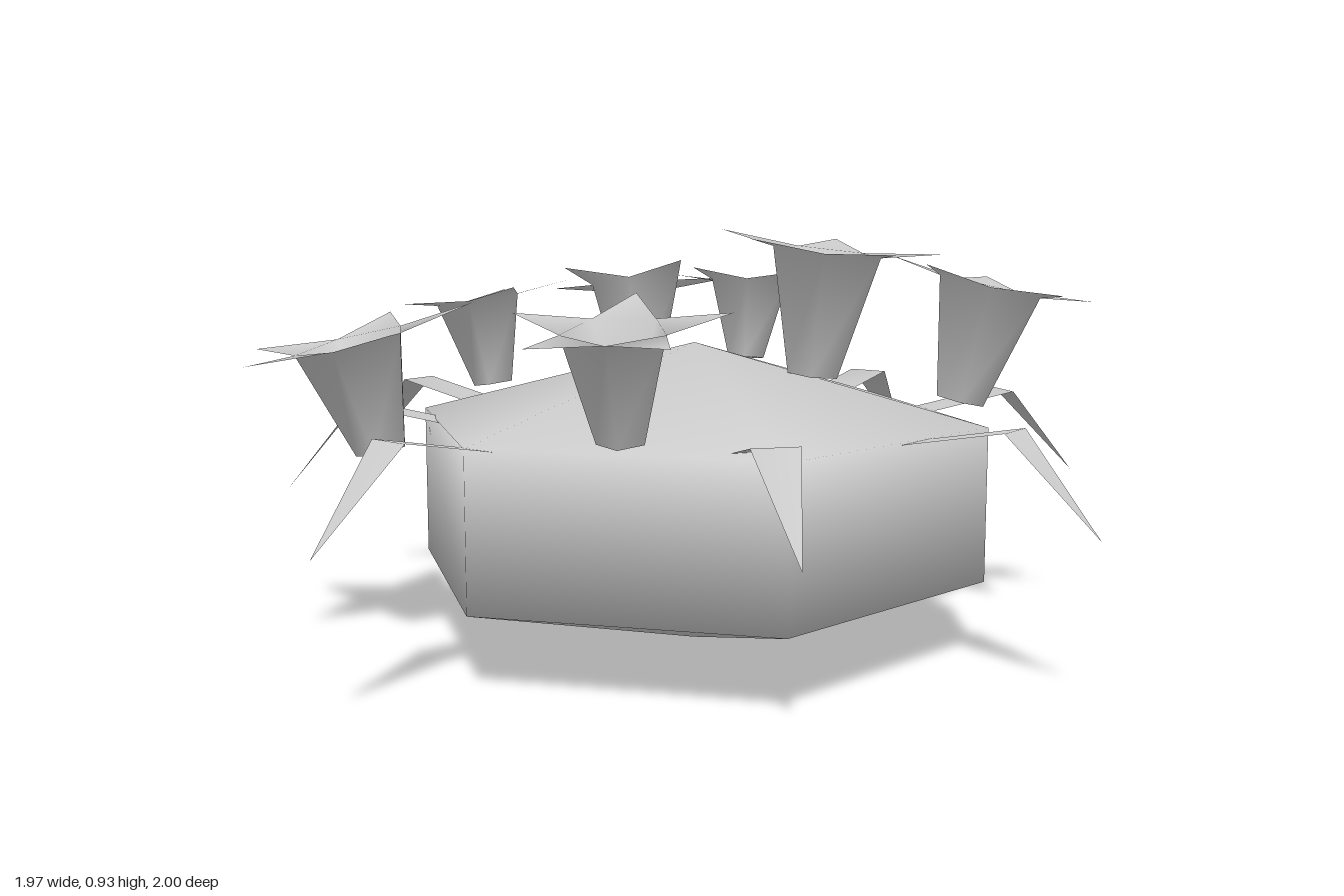
import * as THREE from 'three';

const grey = new THREE.MeshStandardMaterial({ color: 0xcccccc, side: THREE.DoubleSide });
grey.name = 'pale grey';

function surface(name, points, faces) {
  const geometry = new THREE.BufferGeometry();
  geometry.setAttribute('position', new THREE.Float32BufferAttribute(points.flat(), 3));
  geometry.setIndex(faces.flat());
  geometry.computeVertexNormals();
  const mesh = new THREE.Mesh(geometry, grey);
  mesh.name = name;
  return mesh;
}

// Five-sided funnel with a triangular petal on each rim edge; rim centre at the origin
function flower(radius, length) {
  const points = [], faces = [];
  const ring = (r, y, turn) => {
    for (let i = 0; i < 5; i++) {
      const a = (i + turn) * Math.PI * 2 / 5;
      points.push([Math.sin(a) * r, y, Math.cos(a) * r]);
    }
  };
  ring(radius * 0.22, -length, -0.5); // foot
  ring(radius * 0.47, -radius * 0.07, -0.5); // throat
  ring(radius, 0, 0); // petal tips
  points.push([0, -length, 0]);
  for (let i = 0; i < 5; i++) {
    const j = (i + 1) % 5;
    // wound so that the inside of the cup is the front
    faces.push([i, 5 + j, j], [i, 5 + i, 5 + j], [5 + i, 10 + i, 5 + j], [15, i, j]);
  }
  return surface('flower', points, faces);
}

// Flat leaf that rises to a knee and droops to a point, running along +z up to the origin
function leaf(scale) {
  const w = 0.05, base = -0.5 * scale, knee = -0.185 * scale;
  return surface('leaf', [
    [-w, 0.49, base], [w, 0.49, base],
    [-w, 0.55, knee], [w, 0.55, knee],
    [0, 0.35, 0],
  ], [[0, 2, 1], [1, 2, 3], [2, 4, 3]]);
}

export function createModel() {
  const model = new THREE.Group();
  model.name = 'flowering pod';

  // Squat six-sided body
  const body = new THREE.Mesh(new THREE.SphereGeometry(0.755, 6, 3).rotateY(Math.PI / 6), grey);
  body.name = 'body';
  body.scale.y = 0.34 / 0.755;
  body.position.set(0.017, 0.342, -0.03);
  model.add(body);

  // Leaves: tip x, tip z, scale
  const leaves = [
    [0.98, -0.16, 1], [0.74, 0.44, 0.85], [0.045, 1, 1], [-0.61, 0.64, 0.88],
    [-0.985, 0.16, 1], [-0.7, -0.67, 1], [-0.13, -1, 1], [0.48, -0.865, 1],
  ];
  for (const [x, z, scale] of leaves) {
    const mesh = leaf(scale);
    mesh.position.set(x, 0, z);
    mesh.rotation.y = Math.atan2(x, z);
    model.add(mesh);
  }

  // Flowers: rim centre x, y, z, radius, length; each leans outward
  const flowers = [
    [0.283, 0.905, -0.175, 0.26, 0.29], [0.497, 0.825, -0.48, 0.25, 0.28],
    [-0.574, 0.79, -0.42, 0.255, 0.27], [-0.157, 0.81, -0.41, 0.207, 0.2],
    [-0.42, 0.785, 0.23, 0.215, 0.21], [-0.36, 0.72, 0.625, 0.268, 0.26],
    [0.304, 0.77, 0.48, 0.23, 0.24],
  ];
  const up = new THREE.Vector3(0, 1, 0);
  for (const [x, y, z, radius, length] of flowers) {
    const mesh = flower(radius, length);
    mesh.position.set(x, y, z);
    mesh.quaternion.setFromUnitVectors(up, new THREE.Vector3(x / 3, 1, z / 3).normalize());
    model.add(mesh);
  }
  return model;
}
